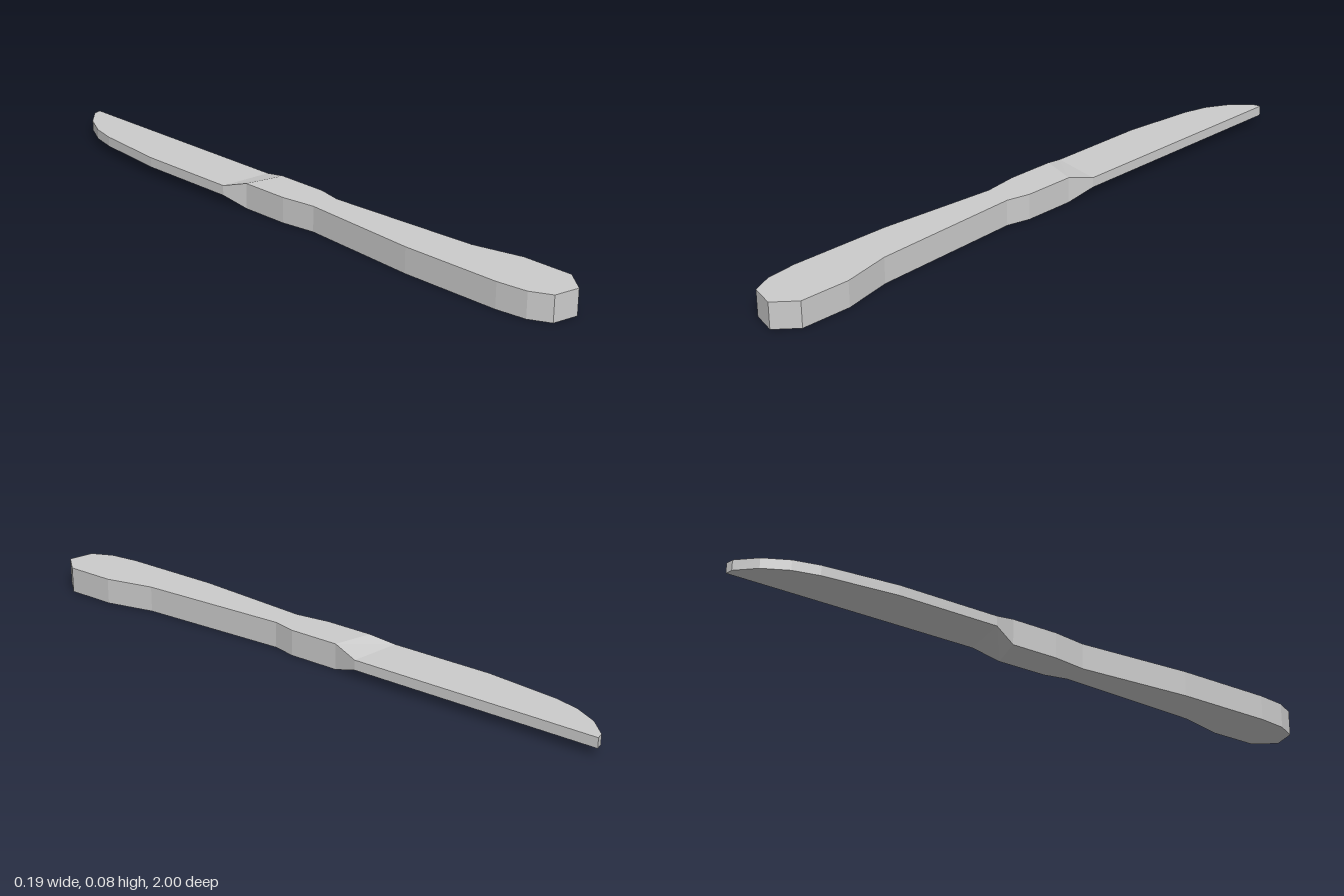
import * as THREE from 'three';

const HANDLE = [0, 0.082];      // bottom and top heights
const BLADE = [0.029, 0.061];

// Slab between two heights; points run counter-clockwise seen from above.
// open lists the edges left without a side wall, where the next part joins.
function slab(name, points, heights, open) {
  const n = points.length;
  const at = (i, level) => {
    const [x, z] = points[i % n];
    return [x, heights(i % n)[level], z];
  };
  const pos = [];
  const tri = (...corners) => corners.forEach((c) => pos.push(...c));

  // top and bottom faces
  const contour = points.map(([x, z]) => new THREE.Vector2(x, -z));
  for (const [a, b, c] of THREE.ShapeUtils.triangulateShape(contour, [])) {
    tri(at(a, 1), at(b, 1), at(c, 1));
    tri(at(c, 0), at(b, 0), at(a, 0));
  }
  // side walls
  for (let i = 0; i < n; i++) {
    if (open.includes(i)) continue;
    tri(at(i, 0), at(i + 1, 0), at(i + 1, 1));
    tri(at(i, 0), at(i + 1, 1), at(i, 1));
  }

  const geometry = new THREE.BufferGeometry();
  geometry.setAttribute('position', new THREE.Float32BufferAttribute(pos, 3));
  geometry.computeVertexNormals();
  const mesh = new THREE.Mesh(geometry, new THREE.MeshStandardMaterial({ color: 0xcccccc, flatShading: true }));
  mesh.name = name;
  return mesh;
}

export function createModel() {
  const group = new THREE.Group();
  group.name = 'tableKnife';

  // outlines as [x, z]
  const handle = [
    [-0.07, -0.145], [-0.07, 0.01], [-0.055, 0.12], [-0.083, 0.5], [-0.083, 0.82],
    [-0.072, 0.915], [-0.041, 0.98], [0.038, 1], [0.093, 0.935], [0.093, 0.775],
    [0.057, 0.62], [0.033, 0.13], [0.05, 0.055], [0.05, -0.11],
  ];
  const blade = [
    [0.07, -0.195], [0.07, -1], [0.045, -0.995], [-0.01, -0.94], [-0.05, -0.865],
    [-0.07, -0.785], [-0.095, -0.55], [-0.095, -0.22],
  ];
  // sloping neck between handle and blade
  const neck = [handle.at(-1), blade[0], blade.at(-1), handle[0]];

  group.add(
    slab('handle', handle, () => HANDLE, [handle.length - 1]),
    slab('neck', neck, (i) => (i === 1 || i === 2 ? BLADE : HANDLE), [1, 3]),
    slab('blade', blade, () => BLADE, [blade.length - 1]),
  );
  return group;
}
